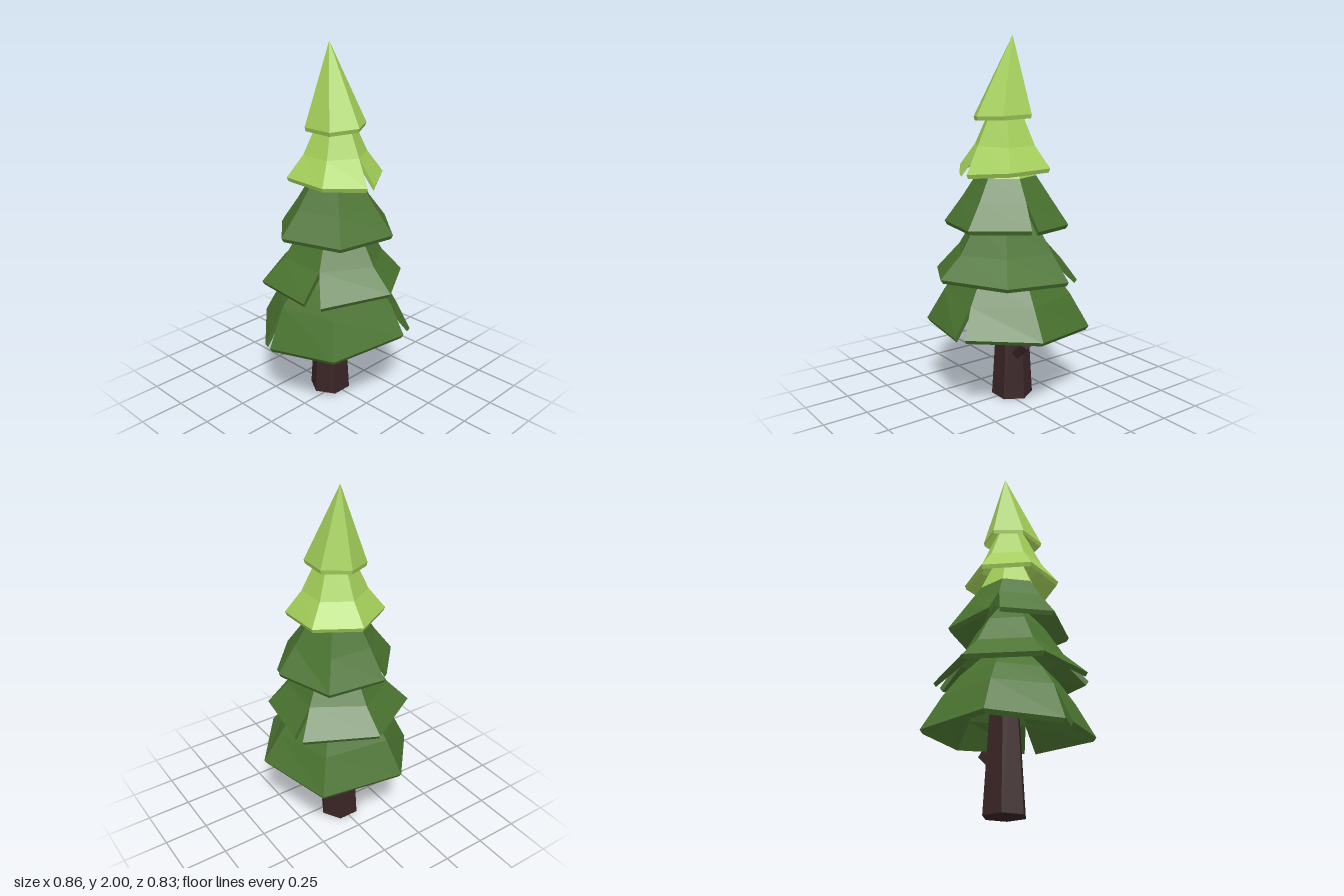
import * as THREE from 'three';

const SLIT = true; // marks a rim corner that is torn away from the next one

// One skirt of branches: rim corners [x, y, z, slit?] run front > right > back > left,
// the profile [scale, y] climbs from the rim towards the axis.
function makeTier(name, rim, profile, material, { cz = 0, collar = null } = {}) {
  const main = [], top = [];
  const n = rim.length;
  const quad = (out, a, b, c, d) => out.push(...a, ...b, ...c, ...a, ...c, ...d);

  // cross-section of each corner: down the outside, round the rim, up the inside
  const columns = rim.map((p, i) => {
    const prev = rim[(i + n - 1) % n], next = rim[(i + 1) % n];
    const mate = p[3] ? next : prev[3] ? prev : p; // torn corners share their upper points
    const mx = (p[0] + mate[0]) / 2, mz = (p[2] + mate[2]) / 2;
    const upper = profile.map(([f, y]) => [mx * f, y, cz + (mz - cz) * f]);
    const inner = upper.map(([x, y, z]) => [x * 0.96, y - 0.035, cz + (z - cz) * 0.96]);
    const lip = [p[0] * 0.965, p[1] - 0.022, cz + (p[2] - cz) * 0.965];
    return [...upper.reverse(), p.slice(0, 3), lip, ...inner];
  });

  const k = profile.length;
  columns.forEach((a, i) => {
    const b = columns[(i + 1) % n];
    if (rim[i][3]) {
      // the two cut faces of a tear
      quad(main, a[k - 1], a[k], a[k + 1], a[k + 2]);
      quad(main, b[k + 2], b[k + 1], b[k], b[k - 1]);
      return;
    }
    for (let s = 0; s < a.length - 1; s++) {
      quad(collar && s === 0 ? top : main, a[s], a[s + 1], b[s + 1], b[s]);
    }
  });

  const geometry = new THREE.BufferGeometry();
  geometry.setAttribute('position', new THREE.Float32BufferAttribute([...main, ...top], 3));
  geometry.computeVertexNormals(); // unindexed, so every face is flat
  geometry.addGroup(0, main.length / 3, 0);
  if (collar) geometry.addGroup(main.length / 3, top.length / 3, 1);
  const mesh = new THREE.Mesh(geometry, collar ? [material, collar] : material);
  mesh.name = name;
  return mesh;
}

function makeMaterial(name, color) {
  const material = new THREE.MeshStandardMaterial({ color, side: THREE.DoubleSide, flatShading: true });
  material.name = name;
  return material;
}

export function createModel() {
  const tree = new THREE.Group();
  tree.name = 'pineTree';
  const lightGreen = makeMaterial('lightGreen', 0xa4cf5a);
  const darkGreen = makeMaterial('darkGreen', 0x4a7330);
  const bark = makeMaterial('bark', 0x3a2526);

  // six-sided tapering trunk
  const trunk = new THREE.Mesh(new THREE.CylinderGeometry(0.062, 0.116, 0.9, 6, 1, false, Math.PI / 6), bark);
  trunk.name = 'trunk';
  trunk.position.set(0, 0.45, -0.045);
  tree.add(trunk);

  // broken branch stub
  const stub = new THREE.Mesh(new THREE.CylinderGeometry(0.032, 0.04, 0.13, 5), bark);
  stub.name = 'branchStub';
  stub.position.set(0.1, 0.295, -0.03);
  stub.rotation.z = -0.85;
  tree.add(stub);

  tree.add(makeTier('bottomBranches', [
    [-0.33, 0.43, 0.315], [0.115, 0.455, 0.41, SLIT], [0.185, 0.465, 0.395],
    [0.43, 0.455, 0.075], [0.31, 0.425, -0.345], [-0.16, 0.42, -0.42],
    [-0.42, 0.40, -0.125, SLIT], [-0.43, 0.395, -0.075],
  ], [[0.77, 0.61], [0.58, 0.73], [0.3, 0.86]], darkGreen));

  tree.add(makeTier('lowerBranches', [
    [-0.345, 0.715, 0.235], [-0.01, 0.745, 0.415], [0.31, 0.735, 0.215],
    [0.36, 0.72, -0.15, SLIT], [0.35, 0.725, -0.215], [-0.01, 0.735, -0.41],
    [-0.36, 0.735, -0.205], [-0.39, 0.73, 0.155, SLIT],
  ], [[0.7, 0.86], [0.46, 1.02], [0.25, 1.12]], darkGreen));

  tree.add(makeTier('middleBranches', [
    [-0.22, 1.01, 0.255], [0.11, 1.015, 0.318], [0.325, 1.02, 0.07, SLIT], [0.335, 1.015, 0.035],
    [0.215, 0.995, -0.265], [-0.1, 1.005, -0.315, SLIT], [-0.14, 1.01, -0.28], [-0.335, 1.015, -0.065],
  ], [[0.7, 1.15], [0.48, 1.265], [0.3, 1.4]], darkGreen, { collar: lightGreen }));

  tree.add(makeTier('upperBranches', [
    [-0.04, 1.295, 0.27, SLIT], [0.02, 1.29, 0.265], [0.225, 1.31, 0.135], [0.225, 1.315, -0.125],
    [0, 1.315, -0.26], [-0.235, 1.315, -0.125], [-0.235, 1.31, 0.14],
  ], [[0.66, 1.43], [0.38, 1.59], [0.2, 1.68]], lightGreen));

  tree.add(makeTier('crown', [
    [-0.01, 1.585, 0.18], [0.122, 1.59, 0.105], [0.135, 1.595, -0.07],
    [0, 1.59, -0.155], [-0.15, 1.575, -0.075], [-0.15, 1.575, 0.105],
  ], [[0, 2]], lightGreen, { cz: -0.045 }));

  return tree;
}
